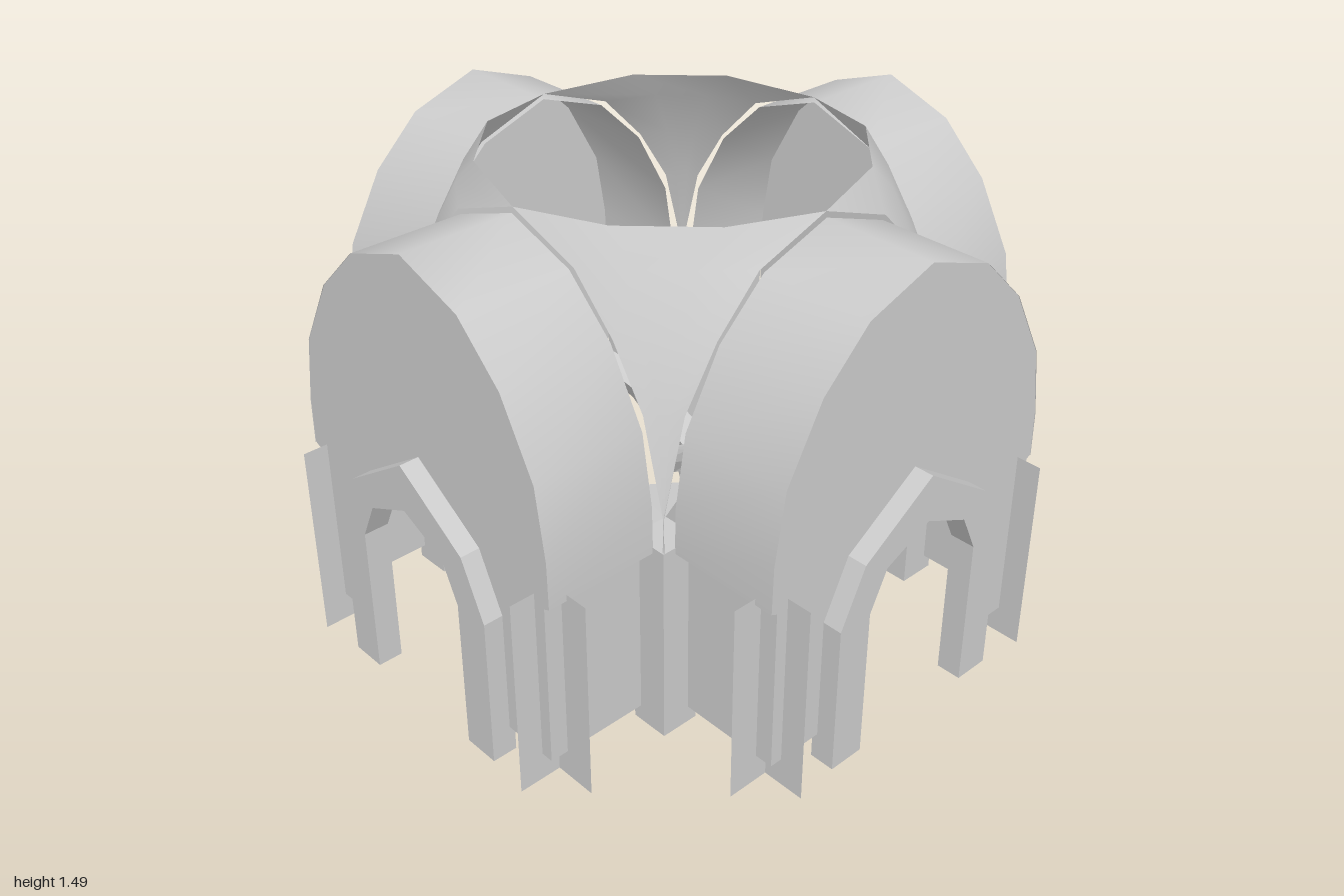
import * as THREE from 'three';
import { ParametricGeometry } from 'three/addons/geometries/ParametricGeometry.js';

const solid = new THREE.MeshStandardMaterial({ color: 0xcccccc, flatShading: true });
const sheet = new THREE.MeshStandardMaterial({ color: 0xcccccc, side: THREE.DoubleSide });

// [half width, height] from the springing up to the crown
const vaultArch = [[0.553, 0.63], [0.55, 0.78], [0.515, 1.0], [0.395, 1.22], [0.235, 1.375], [0, 1.457]];
const crossingArch = [[0.596, 0.65], [0.59, 0.76], [0.515, 1.05], [0.4, 1.23], [0.25, 1.385], [0, 1.475]];

const mirrored = (half) => [...half, ...half.slice(0, -1).reverse().map(([x, y]) => [-x, y])];
const toShape = (pts) => new THREE.Shape(pts.map(([x, y]) => new THREE.Vector2(x, y)));

function add(parent, name, geometry, material, x = 0, y = 0, z = 0) {
  const mesh = new THREE.Mesh(geometry, material);
  mesh.name = name;
  mesh.position.set(x, y, z);
  parent.add(mesh);
  return mesh;
}

function smoothSurface(fn, slices, stacks) {
  const g = new ParametricGeometry(fn, slices, stacks);
  g.computeVertexNormals();
  return g;
}

// Pointed barrel vault, open underneath
function vaultGeometry(z0, z1) {
  const pts = mirrored(vaultArch);
  const n = pts.length - 1;
  return smoothSurface((u, v, t) => {
    const [x, y] = pts[Math.round(u * n)];
    t.set(x, y, z0 + (z1 - z0) * v);
  }, n, 1);
}

// Curved triangle between two arches and the round opening
function pendentiveGeometry() {
  const R = 0.592, n = crossingArch.length - 1;
  return smoothSurface((u, v, t) => {
    const [a, y] = crossingArch[Math.round(v * n)];
    const start = Math.atan2(a, R), bow = Math.sin(Math.PI * u);
    const angle = start + (Math.PI / 2 - 2 * start) * u;
    const r = Math.hypot(R, a) - 0.015 * v * bow;
    t.set(r * Math.cos(angle), y + 0.017 * v * bow, r * Math.sin(angle));
  }, 3, n);
}

// End wall with its two legs and the doorway between them
function endWallGeometry(legHalf, door) {
  const outline = mirrored([[legHalf, 0.09], [legHalf, 0.62], ...vaultArch]);
  return new THREE.ShapeGeometry(toShape([...outline, ...mirrored(door).reverse()]));
}

function doorFrameGeometry() {
  const outer = mirrored([[0.343, 0], [0.343, 0.49], [0.257, 0.67], [0, 0.84]]);
  const inner = mirrored([[0.225, 0], [0.225, 0.49], [0.165, 0.615], [0, 0.69]]);
  return new THREE.ExtrudeGeometry(toShape([...outer, ...inner.reverse()]), { depth: 0.08, bevelEnabled: false });
}

// Square limb along a path of [x, y, z, width, depth]
function limbGeometry(path) {
  const pos = [], idx = [];
  const P = path.map(([x, y, z]) => new THREE.Vector3(x, y, z));
  P.forEach((p, i) => {
    const t = P[Math.min(i + 1, P.length - 1)].clone().sub(P[Math.max(i - 1, 0)]).normalize();
    const u = new THREE.Vector3(0, 0, 1).cross(t).normalize();
    const v = t.clone().cross(u);
    for (const [a, b] of [[-1, -1], [1, -1], [1, 1], [-1, 1]]) {
      const q = p.clone().addScaledVector(u, a * path[i][3] / 2).addScaledVector(v, b * path[i][4] / 2);
      pos.push(q.x, q.y, q.z);
    }
    if (i > 0) for (let k = 0; k < 4; k++) {
      const a = (i - 1) * 4 + k, b = (i - 1) * 4 + (k + 1) % 4;
      idx.push(a, b, b + 4, a, b + 4, a + 4);
    }
  });
  const e = pos.length / 3 - 4;
  idx.push(0, 2, 1, 0, 3, 2, e, e + 1, e + 2, e, e + 2, e + 3);
  const g = new THREE.BufferGeometry();
  g.setAttribute('position', new THREE.Float32BufferAttribute(pos, 3));
  g.setIndex(idx);
  g.computeVertexNormals();
  return g;
}

// One arm of the cross, pointing to +z
function buildArm(framed) {
  const arm = new THREE.Group();
  arm.name = framed ? 'framedArm' : 'plainArm';
  add(arm, 'vault', vaultGeometry(0.595, 0.96), sheet);
  const door = framed
    ? [[0.28, 0.09], [0.28, 0.49], [0.215, 0.64], [0, 0.78]]
    : [[0.295, 0.09], [0.295, 0.62], [0.23, 0.625], [0, 0.78]];
  add(arm, 'endWall', endWallGeometry(framed ? 0.53 : 0.553, door), sheet, 0, 0, 0.958);
  const wallStart = 0.625, wallEnd = framed ? 0.958 : 0.93;
  for (const s of [-1, 1]) {
    const wall = add(arm, 'sideWall', new THREE.PlaneGeometry(wallEnd - wallStart, 0.525), sheet,
      s * 0.53, 0.352, (wallStart + wallEnd) / 2);
    wall.rotation.y = s * Math.PI / 2;
    if (!framed) continue;
    // Crossed plates at the outer corners, meeting just inside the walls
    const plate = new THREE.PlaneGeometry(0.166, 0.65);
    add(arm, 'cornerPlateAcross', plate, sheet, s * 0.545, 0.325, 0.9);
    add(arm, 'cornerPlateAlong', plate, sheet, s * 0.49, 0.325, 0.955).rotation.y = Math.PI / 2;
  }
  if (framed) add(arm, 'doorFrame', doorFrameGeometry(), solid, 0, 0, 0.94);
  return arm;
}

export function createModel() {
  const model = new THREE.Group();
  model.name = 'vaultedShrine';
  const body = new THREE.Group();
  body.name = 'building';
  body.position.set(0.035, 0, -0.04);
  model.add(body);

  for (let i = 0; i < 4; i++) {
    const angle = -i * Math.PI / 2;
    const arm = buildArm(i < 2);
    arm.rotation.y = angle;
    body.add(arm);

    // Inner corner: column below, pendentive above
    const corner = new THREE.Group();
    corner.name = 'crossingCorner';
    corner.rotation.y = angle;
    body.add(corner);
    add(corner, 'column', new THREE.BoxGeometry(0.125, 0.65, 0.125), solid, 0.535, 0.325, 0.535);
    add(corner, 'pendentive', pendentiveGeometry(), sheet);
  }

  // Ten-sided pedestal with a shallow conical top
  const base = add(body, 'pedestal', new THREE.CylinderGeometry(0.325, 0.325, 0.095, 10), solid, 0, 0.0525, 0);
  const cap = add(body, 'pedestalTop', new THREE.ConeGeometry(0.325, 0.035, 10, 1, true), solid, 0, 0.1175, 0);
  base.rotation.y = cap.rotation.y = Math.PI / 2;

  // Forked branch rooted through the pedestal
  const branch = new THREE.Group();
  branch.name = 'branch';
  model.add(branch);
  add(branch, 'mainLimb', limbGeometry([
    [0.075, 0, -0.025, 0.12, 0.14], [0.075, 0.09, -0.025, 0.12, 0.15], [0.075, 0.31, 0.075, 0.11, 0.11],
    [0.03, 0.5, 0.05, 0.09, 0.1], [-0.02, 0.66, -0.12, 0.075, 0.08], [-0.105, 0.77, -0.25, 0.05, 0.05],
  ]), solid);
  add(branch, 'sideLimb', limbGeometry([
    [0.04, 0.47, 0.07, 0.06, 0.06], [-0.14, 0.56, 0.13, 0.055, 0.055], [-0.145, 0.64, 0.24, 0.035, 0.035],
  ]), solid);

  return model;
}
